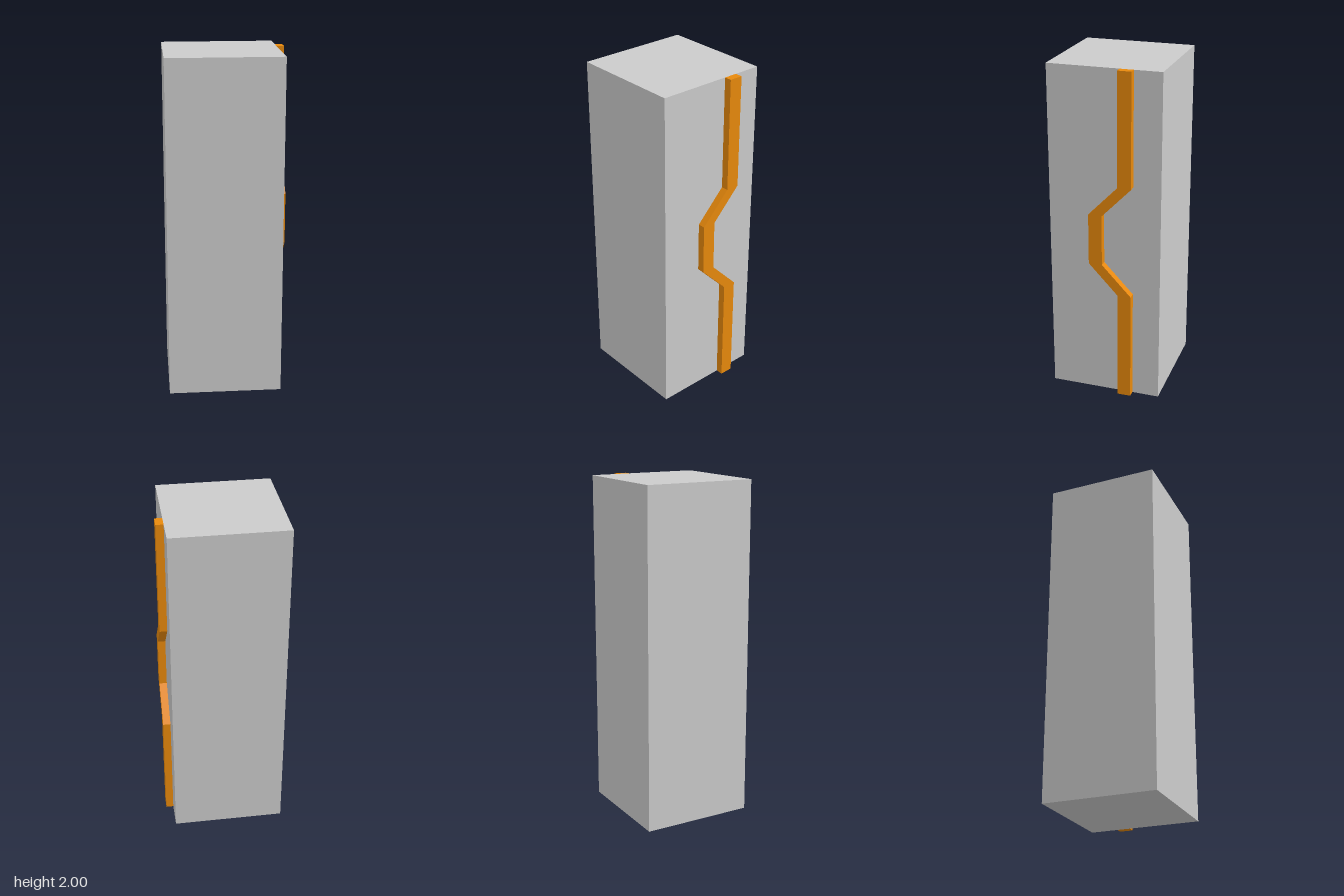
import * as THREE from 'three';

export function createModel() {
  const model = new THREE.Group();
  const grey = new THREE.MeshStandardMaterial({ color: 0xcccccc });
  const orange = new THREE.MeshStandardMaterial({ color: 0xe8890c });

  // Square pillar, shifted so that pillar and strip together are centred on x
  const sideX = 0.311, outerX = 0.355;
  const pillar = new THREE.Mesh(new THREE.BoxGeometry(sideX + outerX, 2, 0.666), grey);
  pillar.name = 'pillar';
  pillar.position.set((sideX - outerX) / 2, 1, 0);
  model.add(pillar);

  // Strip with a jog towards the front: rear edge as [z, y], front edge offset by its width
  const width = 0.08;
  const edge = [[-0.171, 0], [-0.171, 0.667], [0.003, 0.85], [0.003, 1.153], [-0.171, 1.333], [-0.171, 2]];
  const outline = [
    ...edge.map(([z, y]) => new THREE.Vector2(-z, y)),
    ...edge.map(([z, y]) => new THREE.Vector2(-z - width, y)).reverse(),
  ];
  const strip = new THREE.Mesh(
    new THREE.ExtrudeGeometry(new THREE.Shape(outline), { depth: outerX - sideX, bevelEnabled: false }),
    orange
  );
  strip.name = 'joggedStrip';
  strip.rotation.y = Math.PI / 2; // shape x becomes -z, extrusion runs along +x
  strip.position.x = sideX;
  model.add(strip);

  return model;
}
